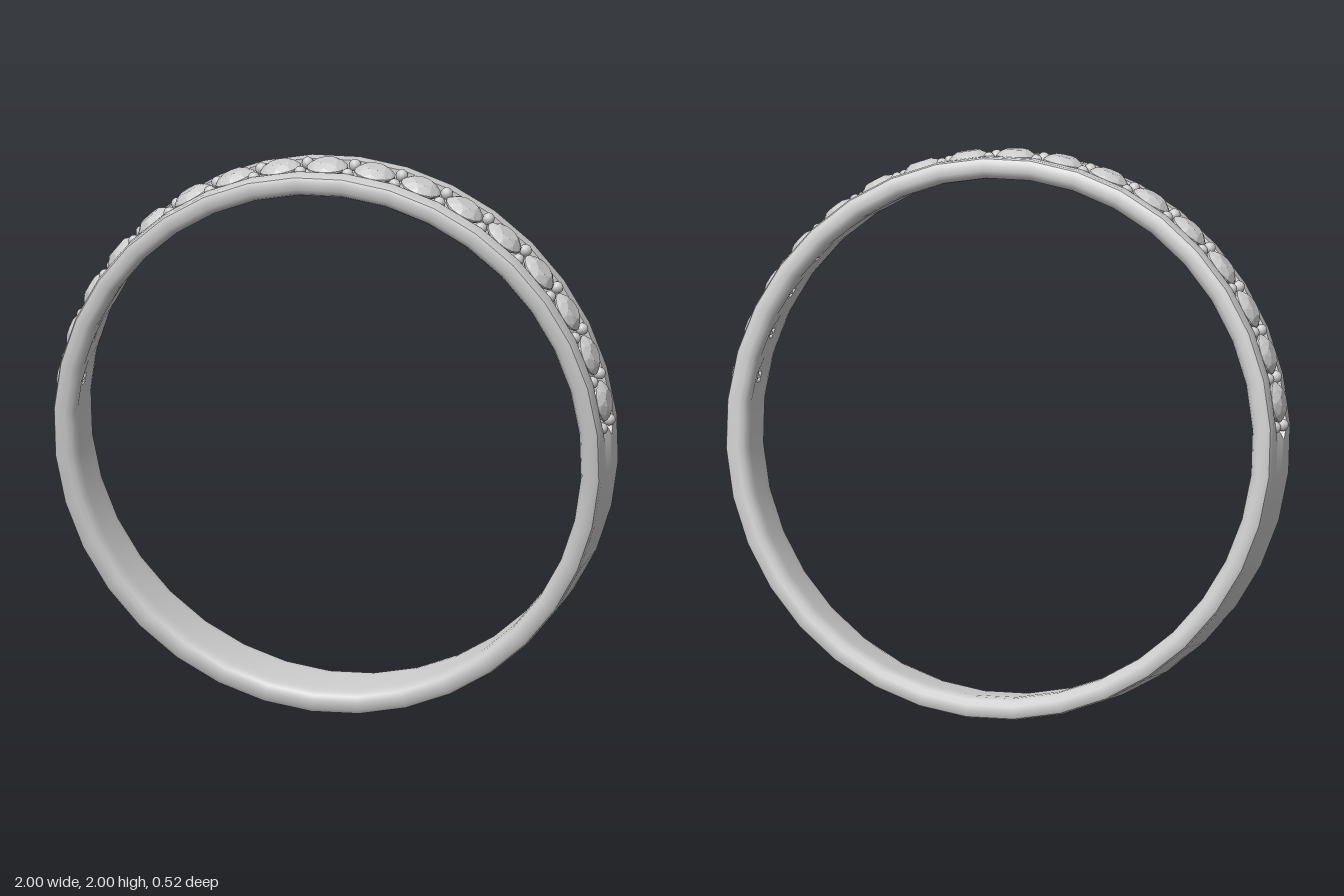
import * as THREE from 'three';
import { toCreasedNormals } from 'three/addons/utils/BufferGeometryUtils.js';
import { ConvexGeometry } from 'three/addons/geometries/ConvexGeometry.js';

const FACETS = 36, STEP = 10, LAST = 80; // degrees per facet, angle of the last stone
const rad = THREE.MathUtils.degToRad;
const HOLE = 1.2; // half angle of the hole under each stone

// Half of the cross-section [radius, z], from the groove floor round to the bore
function halfSection(floor, grooveWidth, bore) {
  return [
    [floor, 0.02], [floor, grooveWidth - 0.006], [0.99, grooveWidth], [0.99, 0.122],
    [0.985, 0.135], [0.972, 0.142], [0.943, 0.143], [0.925, 0.134], [0.915, 0.115],
    [0.912, 0.085], [bore, 0.02],
  ];
}

function bandGeometry() {
  // Angles of the cross-sections, clockwise from the top
  const sections = [];
  for (let k = 0; k < FACETS; k++) {
    const mid = k * STEP - LAST;
    const set = mid <= LAST;
    sections.push({ a: mid - 5, mid, groove: mid <= LAST + STEP });
    if (set) {
      sections.push({ a: mid - HOLE, mid, groove: true, hole: true });
      sections.push({ a: mid + HOLE, mid, groove: true, dent: true });
    }
    if (mid === LAST + STEP) sections.push({ a: mid - 2, mid, groove: false });
    if (k === FACETS - 1) sections.push({ a: mid + 2, mid, groove: false });
  }
  const pos = [], index = [];
  let n = 0;
  for (const s of sections) {
    const half = halfSection(s.groove ? 0.952 : 0.99, s.groove ? 0.077 : 0.05,
      s.hole || s.dent ? 0.922 : 0.912);
    n = half.length;
    const loop = [...half, ...half.map(([r, z]) => [r, -z]).reverse()];
    const flat = Math.cos(rad(5)) / Math.cos(rad(s.a - s.mid)); // keeps each facet straight
    for (const [r, z] of loop) {
      pos.push(r * flat * Math.sin(rad(s.a)), r * flat * Math.cos(rad(s.a)), z);
    }
  }
  const P = 2 * n, S = sections.length;
  const at = (i, j) => (i % S) * P + (j % P);
  const quad = (a, b, c, d) => index.push(a, b, c, a, c, d);
  for (let i = 0; i < S; i++) {
    const open = sections[i].hole;
    for (let j = 0; j < P; j++) {
      if (open && (j === n - 1 || j === P - 1)) continue;
      quad(at(i, j), at(i, j + 1), at(i + 1, j + 1), at(i + 1, j));
    }
    if (open) { // the four walls of the hole
      const k = i + 1;
      quad(at(i, 0), at(k, 0), at(k, n - 1), at(i, n - 1));
      quad(at(i, n), at(k, n), at(k, P - 1), at(i, P - 1));
      quad(at(i, 0), at(i, n - 1), at(i, n), at(i, P - 1));
      quad(at(k, P - 1), at(k, n), at(k, n - 1), at(k, 0));
    }
  }
  const g = new THREE.BufferGeometry();
  g.setAttribute('position', new THREE.Float32BufferAttribute(pos, 3));
  g.setIndex(index);
  return toCreasedNormals(g, rad(40));
}

// Brilliant cut: girdle, crown, table and pointed base
function stoneGeometry() {
  const points = [new THREE.Vector3(0, -0.068, 0)];
  const ring = (count, r, y, turn) => {
    for (let i = 0; i < count; i++) {
      const a = ((i + turn) / count) * Math.PI * 2;
      points.push(new THREE.Vector3(r * Math.cos(a), y, r * Math.sin(a)));
    }
  };
  ring(16, 0.073, -0.004, 0);
  ring(16, 0.073, 0.002, 0);
  ring(8, 0.06, 0.015, 0);
  ring(8, 0.04, 0.026, 0.5);
  return new ConvexGeometry(points);
}

export function createModel() {
  const model = new THREE.Group();
  model.name = 'ring';
  const material = new THREE.MeshStandardMaterial({ color: 0xcccccc });
  const stoneMaterial = new THREE.MeshStandardMaterial({ color: 0xcccccc, flatShading: true });
  const add = (name, geometry, mat, angle = 0, radius = 0, z = 0) => {
    const mesh = new THREE.Mesh(geometry, mat);
    mesh.name = name;
    mesh.position.set(radius * Math.sin(rad(angle)), radius * Math.cos(rad(angle)), z);
    mesh.rotation.z = -rad(angle);
    model.add(mesh);
  };

  add('band', bandGeometry(), material);

  // Row of stones over the upper half
  const stone = stoneGeometry();
  for (let a = -LAST; a <= LAST; a += STEP) add('stone', stone, stoneMaterial, a, 0.983);

  // Pairs of holding beads between the stones and at both ends
  const bead = new THREE.SphereGeometry(0.022, 12, 8);
  for (let a = -LAST - 5; a <= LAST + 5; a += STEP) {
    for (const side of [-1, 1]) add('bead', bead, material, a, 0.98, side * 0.054);
  }

  // The ring leans forward a little
  model.rotation.x = rad(7);
  model.position.y = 0.994;
  const root = new THREE.Group();
  root.name = 'stoneSetRing';
  root.add(model);
  return root;
}
